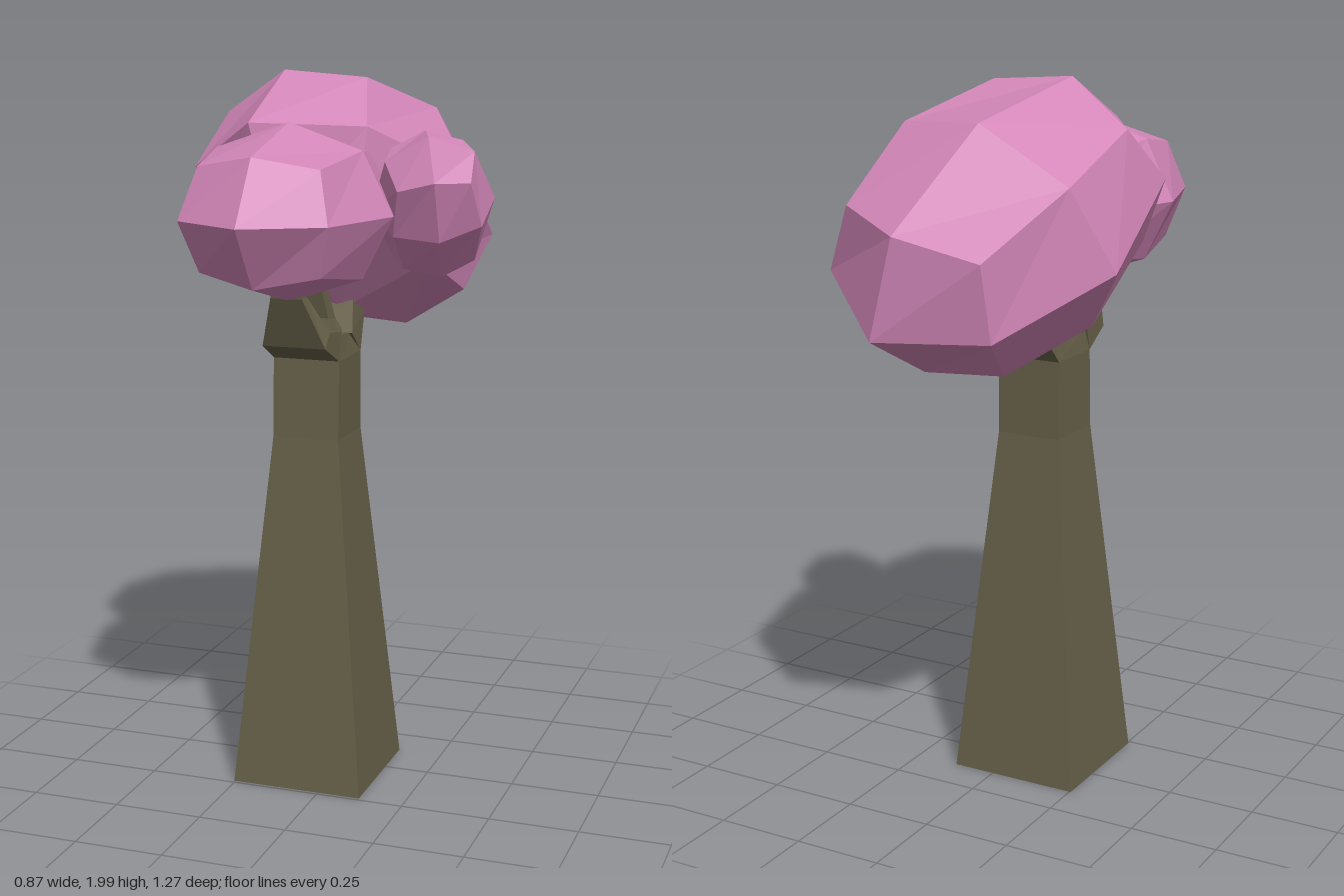
import * as THREE from 'three';

const bark = new THREE.MeshStandardMaterial({ name: 'bark brown', color: 0x676149 });
const blossom = new THREE.MeshStandardMaterial({ name: 'blossom pink', color: 0xd286b8 });

function flatMesh(name, geometry, material) {
  const g = geometry.index ? geometry.toNonIndexed() : geometry;
  g.computeVertexNormals();
  const mesh = new THREE.Mesh(g, material);
  mesh.name = name;
  return mesh;
}

// Rounded cube (2 x 2 quads per face) stretched along three half-axes
function foliage(name, center, ax, ay, az) {
  const g = new THREE.BoxGeometry(2, 2, 2, 2, 2, 2);
  const p = g.attributes.position;
  const v = new THREE.Vector3();
  for (let i = 0; i < p.count; i++) {
    v.fromBufferAttribute(p, i).normalize();
    p.setXYZ(i, v.x, v.y, v.z);
  }
  g.applyMatrix4(new THREE.Matrix4().makeBasis(ax, ay, az).setPosition(...center));
  return flatMesh(name, g, blossom);
}

// Four-sided limb; each section is [half width, front z, front y, back z, back y]
function limb(name, sections, cx = -0.066) {
  const pos = [];
  const index = [];
  sections.forEach(([h, zf, yf, zb, yb], s) => {
    pos.push(cx - h, yf, zf, cx + h, yf, zf, cx + h, yb, zb, cx - h, yb, zb);
    if (s === 0) return;
    for (let j = 0; j < 4; j++) {
      const a = (s - 1) * 4 + j;
      const b = (s - 1) * 4 + ((j + 1) % 4);
      index.push(a, b, b + 4, a, b + 4, a + 4);
    }
  });
  const t = (sections.length - 1) * 4;
  index.push(0, 2, 1, 0, 3, 2, t, t + 1, t + 2, t, t + 2, t + 3);
  const g = new THREE.BufferGeometry();
  g.setAttribute('position', new THREE.Float32BufferAttribute(pos, 3));
  g.setIndex(index);
  return flatMesh(name, g, bark);
}

export function createModel() {
  const tree = new THREE.Group();
  tree.name = 'tree';
  const V = (x, y, z) => new THREE.Vector3(x, y, z);

  // Tapered trunk and three short branches
  tree.add(
    limb('trunk', [
      [0.188, 0.24, 0, -0.135, 0],
      [0.095, 0.148, 1, -0.042, 1],
      [0.095, 0.14, 1.22, -0.042, 1.22],
      [0.085, 0.13, 1.29, 0.01, 1.28],
    ]),
    limb('frontBranch', [
      [0.095, 0.139, 1.22, 0.12, 1.3],
      [0.09, 0.235, 1.27, 0.2, 1.31],
      [0.045, 0.29, 1.41, 0.25, 1.41],
      [0.03, 0.3, 1.5, 0.26, 1.5],
    ]),
    limb('middleBranch', [
      [0.07, 0.11, 1.27, 0.01, 1.27],
      [0.05, 0.1, 1.33, 0.04, 1.32],
      [0.03, 0.13, 1.46, 0.09, 1.46],
    ]),
    limb('backBranch', [
      [0.095, 0.03, 1.28, -0.042, 1.22],
      [0.08, -0.02, 1.36, -0.12, 1.32],
      [0.05, -0.14, 1.46, -0.2, 1.41],
    ]),
  );

  // Large tilted crown at the back
  tree.add(foliage('backFoliage', [-0.065, 1.617, -0.205],
    V(0.375, 0.09, 0.06), V(-0.04, 0.283, -0.173), V(-0.13, 0.247, 0.43)));

  // Level crown at the front
  tree.add(foliage('frontFoliage', [-0.066, 1.635, 0.26],
    V(0.287, 0, 0), V(0, 0.236, 0), V(0, 0, 0.38)));

  // Small tilted crown on the left
  const turn = new THREE.Euler(0.66, 0.35, -0.12);
  tree.add(foliage('sideFoliage', [0.28, 1.652, 0.105],
    V(0.165, 0, 0).applyEuler(turn), V(0, 0.235, 0).applyEuler(turn), V(0, 0, 0.15).applyEuler(turn)));

  return tree;
}
